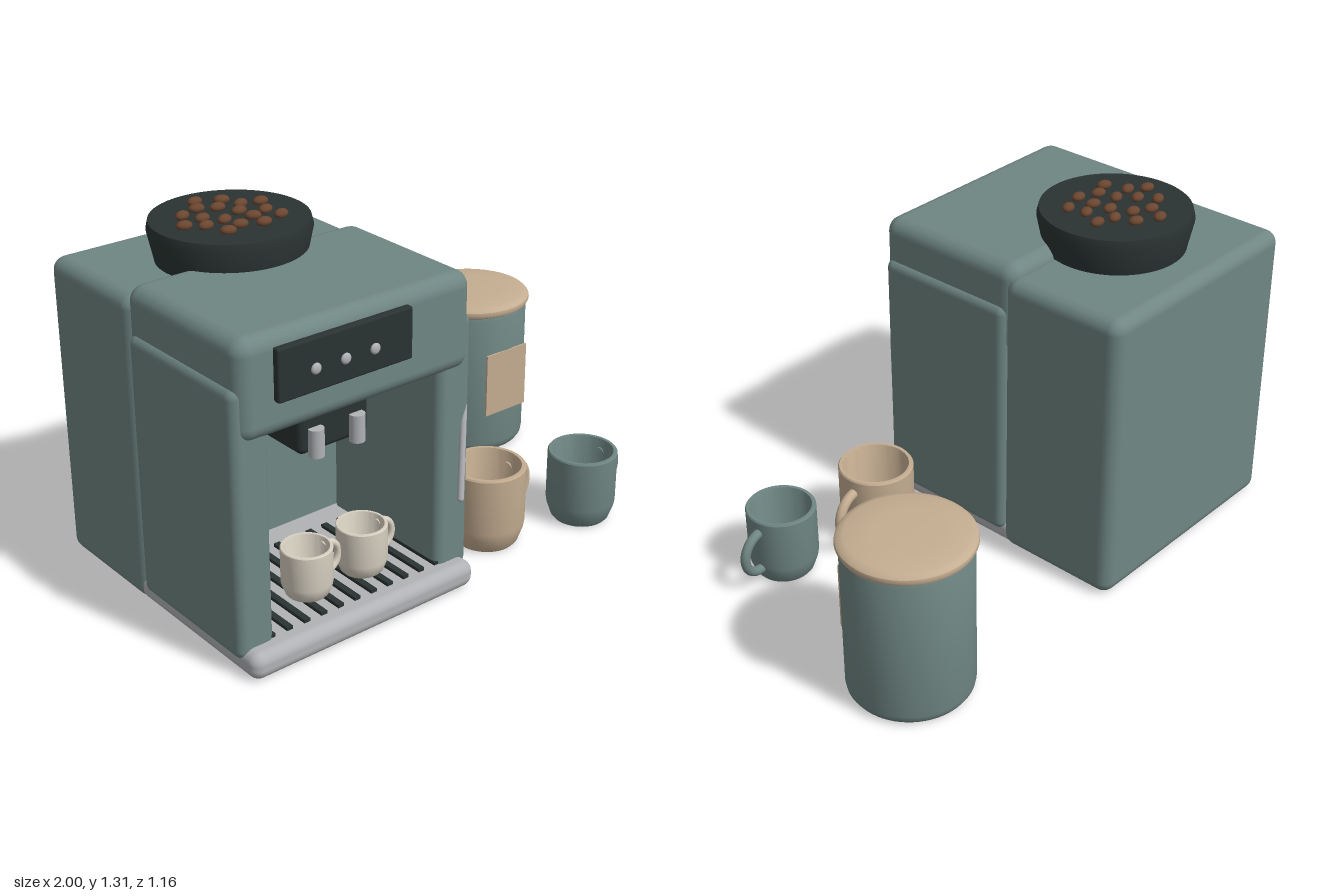
import * as THREE from 'three';
import { toCreasedNormals } from 'three/addons/utils/BufferGeometryUtils.js';
import { RoundedBoxGeometry } from 'three/addons/geometries/RoundedBoxGeometry.js';

const paint = (name, color) => {
  const m = new THREE.MeshStandardMaterial({ color });
  m.name = name;
  return m;
};

export function createModel() {
  const teal = paint('teal enamel', 0x6f8683);
  const tan = paint('warm tan', 0xc4ad91);
  const dark = paint('dark plastic', 0x2a3332);
  const metal = paint('brushed metal', 0xb0b2b5);
  const cream = paint('cream ceramic', 0xd8d1c2);
  const brown = paint('roasted brown', 0x6b4630);

  const root = new THREE.Group();
  root.name = 'coffeeStation';
  const machine = new THREE.Group();
  machine.name = 'coffeeMachine';
  root.add(machine);

  const add = (parent, name, geometry, material, x = 0, y = 0, z = 0) => {
    const mesh = new THREE.Mesh(geometry, material);
    mesh.name = name;
    mesh.position.set(x, y, z);
    parent.add(mesh);
    return mesh;
  };

  // Rounded box given by its min and max on each axis
  const block = (name, material, [x0, x1], [y0, y1], [z0, z1], radius) =>
    add(machine, name, new RoundedBoxGeometry(x1 - x0, y1 - y0, z1 - z0, 4, radius), material,
      (x0 + x1) / 2, (y0 + y1) / 2, (z0 + z1) / 2);

  const lathe = (points, segments = 48) => toCreasedNormals(
    new THREE.LatheGeometry(points.map(([r, y]) => new THREE.Vector2(r, y)), segments), 0.6);

  // Machine housing
  block('rearBody', teal, [-0.99, -0.025], [0, 1.14], [-0.57, -0.06], 0.05);
  block('head', teal, [-0.98, -0.035], [0.83, 1.18], [-0.1, 0.53], 0.055);
  block('rightWall', teal, [-0.998, -0.855], [0.055, 1.022], [-0.07, 0.512], 0.035);
  block('leftWall', teal, [-0.165, -0.017], [0.055, 1.022], [-0.07, 0.512], 0.035);

  // Drip tray with a row of slots
  block('dripTray', metal, [-0.985, -0.035], [0.002, 0.1], [-0.12, 0.575], 0.04);
  for (let i = 0; i < 11; i++) {
    add(machine, 'traySlot', new THREE.BoxGeometry(0.024, 0.015, 0.46), dark,
      -0.865 + i * 0.071, 0.105, 0.275);
  }

  // Control panel and buttons
  block('controlPanel', dark, [-0.85, -0.317], [0.955, 1.137], [0.525, 0.555], 0.008);
  for (const x of [-0.71, -0.594, -0.477]) {
    const button = add(machine, 'button', new THREE.SphereGeometry(0.019, 20, 14), metal, x, 1.037, 0.56);
    button.scale.z = 0.5;
  }

  // Spout block and its two nozzles
  block('spoutBlock', dark, [-0.652, -0.362], [0.64, 0.87], [0.16, 0.39], 0.025);
  for (const x of [-0.594, -0.424]) {
    add(machine, 'nozzle', new THREE.CylinderGeometry(0.028, 0.028, 0.1, 24), metal, x, 0.685, 0.4);
  }

  // Steam wand
  const wandTop = new THREE.Vector3(-0.038, 0.68, 0.497);
  const wandTip = new THREE.Vector3(-0.106, 0.372, 0.565);
  const wandDir = wandTop.clone().sub(wandTip);
  const wand = add(machine, 'steamWand', new THREE.CapsuleGeometry(0.012, wandDir.length(), 6, 16), metal);
  wand.position.addVectors(wandTop, wandTip).multiplyScalar(0.5);
  wand.quaternion.setFromUnitVectors(new THREE.Vector3(0, 1, 0), wandDir.normalize());

  // Bean hopper
  const hopper = new THREE.Group();
  hopper.name = 'beanHopper';
  hopper.position.set(-0.508, 0, -0.173);
  machine.add(hopper);
  add(hopper, 'hopperBowl', lathe([[0, 1.1], [0.255, 1.1], [0.262, 1.15], [0.283, 1.25],
    [0.276, 1.28], [0, 1.28]], 64), dark);

  // Beans laid out on a golden-angle spiral
  const beanGeometry = new THREE.SphereGeometry(1, 16, 12);
  for (let i = 0; i < 18; i++) {
    const angle = i * 2.4, r = 0.043 * Math.sqrt(i + 1);
    const bean = add(hopper, 'bean', beanGeometry, brown,
      r * Math.cos(angle), 1.289, r * Math.sin(angle) - 0.006);
    bean.scale.set(0.029, 0.017, 0.021);
    bean.rotation.y = 0.35 * Math.sin(i * 1.7);
  }

  // Hollow cup with tapered foot and a half-ring handle towards +x
  const cup = (name, material, [x, y, z], r, h, ring, tube, turn) => {
    const group = new THREE.Group();
    group.name = name;
    group.position.set(x, y, z);
    group.rotation.y = turn;
    root.add(group);
    const inner = r * 0.86;
    add(group, 'cupBody', lathe([[0, 0], [r * 0.78, 0], [r * 0.85, h * 0.04], [r * 0.97, h * 0.2],
      [r, h * 0.28], [r, h * 0.98], [r * 0.97, h], [inner + r * 0.02, h], [inner, h * 0.98],
      [inner, h * 0.28], [r * 0.7, h * 0.12], [0, h * 0.12]]), material);
    const handle = add(group, 'cupHandle', new THREE.TorusGeometry(ring, tube, 14, 32, Math.PI * 1.16),
      material, r * 0.99, h * 0.53, 0);
    handle.rotation.z = -Math.PI * 0.58;
  };
  cup('tanMug', tan, [0.222, 0, 0.35], 0.142, 0.307, 0.087, 0.019, 0.14);
  cup('tealMug', teal, [0.615, 0, 0.45], 0.13, 0.276, 0.079, 0.018, 0.13);
  cup('espressoCup', cream, [-0.62, 0.112, 0.37], 0.09, 0.18, 0.056, 0.013, 0.1);
  cup('espressoCup', cream, [-0.383, 0.112, 0.37], 0.09, 0.18, 0.056, 0.013, 0.1);

  // Storage canister with lid and flat label
  const canister = new THREE.Group();
  canister.name = 'canister';
  canister.position.set(0.763, 0, -0.348);
  root.add(canister);
  add(canister, 'canisterBody', lathe([[0, 0], [0.195, 0], [0.212, 0.007], [0.222, 0.022], [0.225, 0.04],
    [0.225, 0.58], [0.218, 0.598], [0, 0.598]], 64), teal);
  add(canister, 'canisterLid', lathe([[0, 0.592], [0.222, 0.592], [0.232, 0.598], [0.237, 0.61],
    [0.235, 0.621], [0.226, 0.63], [0.205, 0.637], [0.12, 0.64], [0, 0.641]], 64), tan);
  add(canister, 'canisterLabel', new THREE.BoxGeometry(0.21, 0.262, 0.008), tan, -0.003, 0.31, 0.225);

  return root;
}
